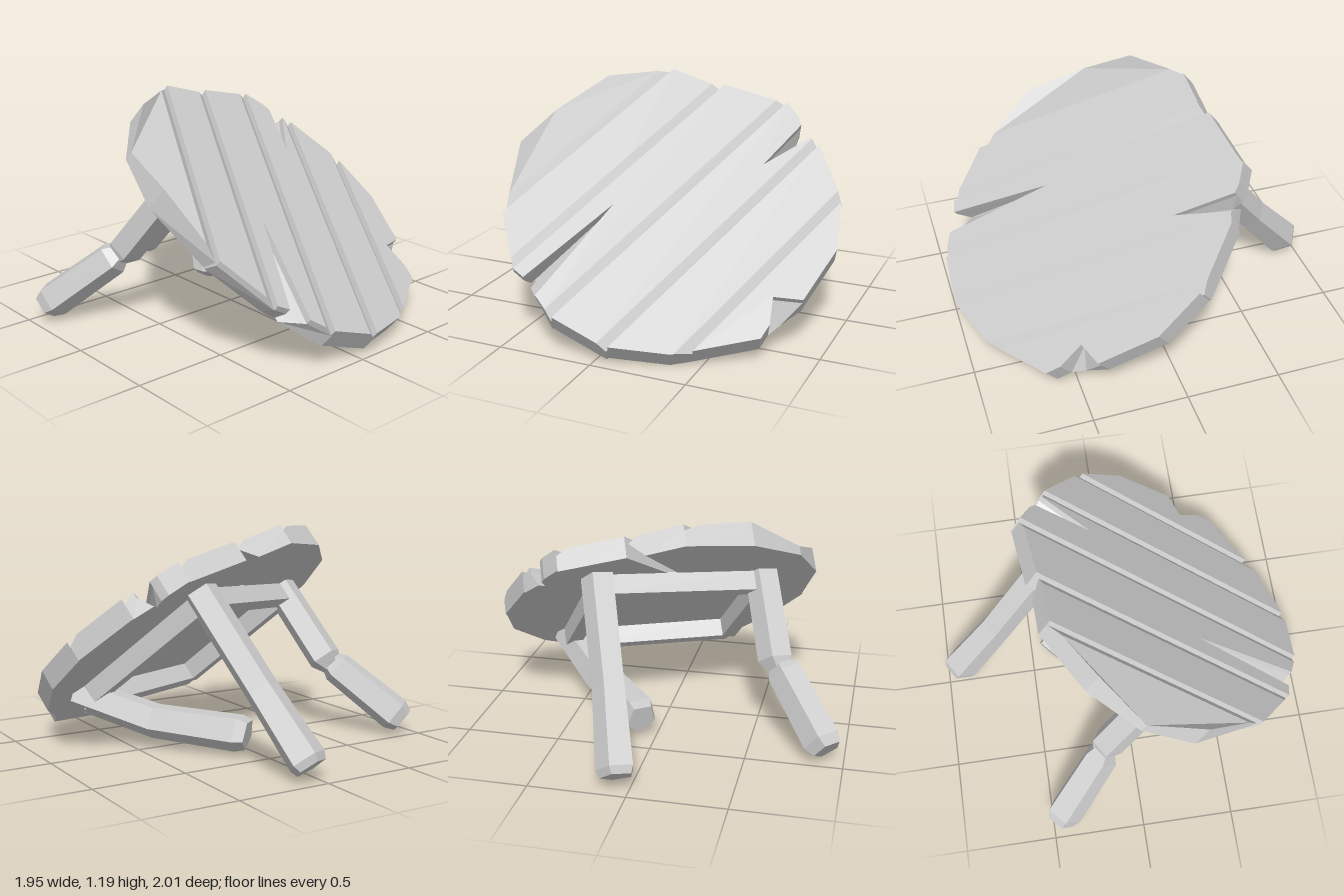
import * as THREE from 'three';

const material = new THREE.MeshStandardMaterial({ color: 0xcccccc, flatShading: true });
const THICK = 0.115, GROOVE = 0.055;
const JOINTS = [-0.565, -0.28, 0.055, 0.365, 0.675];

function toMesh(name, positions) {
  const g = new THREE.BufferGeometry();
  g.setAttribute('position', new THREE.Float32BufferAttribute(positions, 3));
  g.computeVertexNormals();
  const m = new THREE.Mesh(g, material);
  m.name = name;
  return m;
}

// Stitches a stack of equal rings (lowest first) with quads
function stitch(rings, out) {
  const n = rings[0].length;
  for (let k = 0; k < rings.length - 1; k++) {
    for (let i = 0; i < n; i++) {
      const j = (i + 1) % n;
      const a = rings[k][i], b = rings[k][j], c = rings[k + 1][j], d = rings[k + 1][i];
      out.push(...a, ...b, ...c, ...a, ...c, ...d);
    }
  }
}

// Fills a possibly concave ring, facing up or down
function cap(ring, up, out) {
  const flat = ring.map((p) => new THREE.Vector2(p[0], p[2]));
  for (const [a, b, c] of THREE.ShapeUtils.triangulateShape(flat, [])) {
    const facesUp = THREE.ShapeUtils.area([flat[a], flat[b], flat[c]]) < 0;
    const order = facesUp === up ? [a, b, c] : [a, c, b];
    order.forEach((i) => out.push(...ring[i]));
  }
}

// One board: points [u, w, drop of the top corner, u and w of the bottom corner]
// Its right edge is bevelled, along the rim line, to form the groove beside the next board
function plank(outline) {
  const edge = Math.max(...outline.map((p) => p[0]));
  const count = outline.length;
  const topPoint = ([u, w, drop = 0], i) => {
    if (u !== edge || !JOINTS.includes(u)) return [u, -drop, w];
    const near = [outline[(i + count - 1) % count], outline[(i + 1) % count]].find((q) => q[0] !== u);
    return [u - GROOVE, -drop, near ? w + (near[1] - w) * GROOVE / (u - near[0]) : w];
  };
  const rings = [
    outline.map(([u, w, , bu = u, bw = w]) => [bu, -THICK, bw]),
    outline.map(([u, w, drop = 0]) => [u, -0.032 - drop * 0.7, w]),
    outline.map(topPoint),
  ];
  const out = [];
  stitch(rings, out);
  cap(rings[2], true, out);
  cap(rings[0], false, out);
  return toMesh('plank', out);
}

// A faceted timber through sections [u, v, w, radius], listed from the table down
function timber(name, sections, sides = 5) {
  const pts = sections.map((s) => new THREE.Vector3(s[0], s[1], s[2]));
  const axis = pts[0].clone().sub(pts[pts.length - 1]).normalize();
  const turn = new THREE.Quaternion().setFromUnitVectors(new THREE.Vector3(0, 1, 0), axis);
  const rings = sections.map((s, k) => {
    const ring = [];
    for (let i = 0; i < sides; i++) {
      const t = -(i + 0.5) / sides * Math.PI * 2;
      ring.push(new THREE.Vector3(Math.cos(t) * s[3], 0, Math.sin(t) * s[3])
        .applyQuaternion(turn).add(pts[k]).toArray());
    }
    return ring;
  }).reverse();
  const out = [];
  stitch(rings, out);
  const low = rings[0], high = rings[rings.length - 1];
  for (let i = 1; i < sides - 1; i++) {
    out.push(...high[0], ...high[i], ...high[i + 1]);
    out.push(...low[0], ...low[i + 1], ...low[i]);
  }
  return toMesh(name, out);
}

export function createModel() {
  const model = new THREE.Group();
  model.name = 'brokenTable';

  // Table frame: u across the boards, v up from the top, w along the boards
  const table = new THREE.Group();
  table.name = 'tiltedTable';
  const n = new THREE.Vector3(0.325, 1, 0.73).normalize();
  const d = new THREE.Vector3(0.65, 0.76, -1.33);
  d.addScaledVector(n, -d.dot(n)).normalize();
  const e = new THREE.Vector3().crossVectors(d, n);
  table.quaternion.setFromRotationMatrix(new THREE.Matrix4().makeBasis(e, n, d.clone().negate()));
  table.position.set(0.1, 0.648, 0.27);
  model.add(table);

  // Round top of six boards; splits close up towards one face
  const top = new THREE.Group();
  top.name = 'tableTop';
  [
    [[-0.81, 0.29, -0.022], [-0.565, 0.63, 0, -0.565, 0.59], [-0.565, -0.65], [-0.79, -0.36, -0.015], [-0.88, -0.03, 0.065]],
    [[-0.565, 0.65, 0, -0.565, 0.6], [-0.28, 0.84, 0, -0.28, 0.78], [-0.28, -0.05],
      [-0.28, -0.73, 0, -0.36, -0.71], [-0.565, -0.65]],
    [[-0.28, 0.84, 0, -0.28, 0.78], [-0.207, 0.84, 0, -0.207, 0.8], [-0.18, 0.23, 0, -0.2, 0.77],
      [-0.09, 0.87, 0, -0.19, 0.82], [0.055, 0.905], [0.055, -0.89], [-0.28, -0.76]],
    [[0.055, 0.9], [0.365, 0.84], [0.365, -0.78], [0.3, -0.8, 0, 0.25, -0.81],
      [0.227, -0.49, 0, 0.235, -0.77], [0.21, -0.83], [0.17, -0.86], [0.055, -0.9]],
    [[0.365, 0.83], [0.61, 0.655], [0.675, 0.57], [0.675, -0.59], [0.365, -0.79]],
    [[0.675, 0.57], [0.87, 0.3], [0.855, 0.215], [0.77, 0.087, 0, 0.865, 0.13], [0.89, 0], [0.835, -0.34], [0.675, -0.58]],
  ].forEach((o) => top.add(plank(o)));
  table.add(top);

  // Underframe joining the leg positions
  const corners = [[-0.02, -0.64], [0.69, -0.01], [0, 0.66], [-0.6, 0.05]];
  corners.forEach(([u, w], i) => {
    const [u2, w2] = corners[(i + 1) % 4];
    const bar = new THREE.Mesh(
      new THREE.BoxGeometry(Math.hypot(u2 - u, w2 - w), 0.11, 0.085), material);
    bar.name = 'stretcher';
    bar.position.set((u + u2) / 2, -THICK - 0.05, (w + w2) / 2);
    bar.rotation.y = -Math.atan2(w2 - w, u2 - u);
    table.add(bar);
  });

  // Sound leg
  table.add(timber('straightLeg', [
    [-0.02, -0.1, -0.65, 0.092], [-0.02, -0.7, -0.66, 0.09],
    [-0.02, -1.11, -0.685, 0.103], [-0.02, -1.15, -0.685, 0.085],
  ]));
  // Leg knocked sideways
  table.add(timber('leaningLeg', [
    [0.7, -0.11, 0, 0.092], [0.43, -0.465, -0.095, 0.098],
    [0.11, -0.765, -0.245, 0.105], [0.075, -0.805, -0.275, 0.085],
  ]));
  // Leg snapped in the middle
  table.add(timber('snappedLegUpper', [
    [-0.6, -0.1, 0.05, 0.092], [-0.6, -0.6, 0.05, 0.095], [-0.61, -0.67, 0.055, 0.055],
  ]));
  table.add(timber('snappedLegLower', [
    [-0.615, -0.63, 0.055, 0.06], [-0.635, -0.68, 0.06, 0.095],
    [-0.775, -1.07, 0.07, 0.103], [-0.795, -1.12, 0.075, 0.078],
  ]));
  return model;
}
